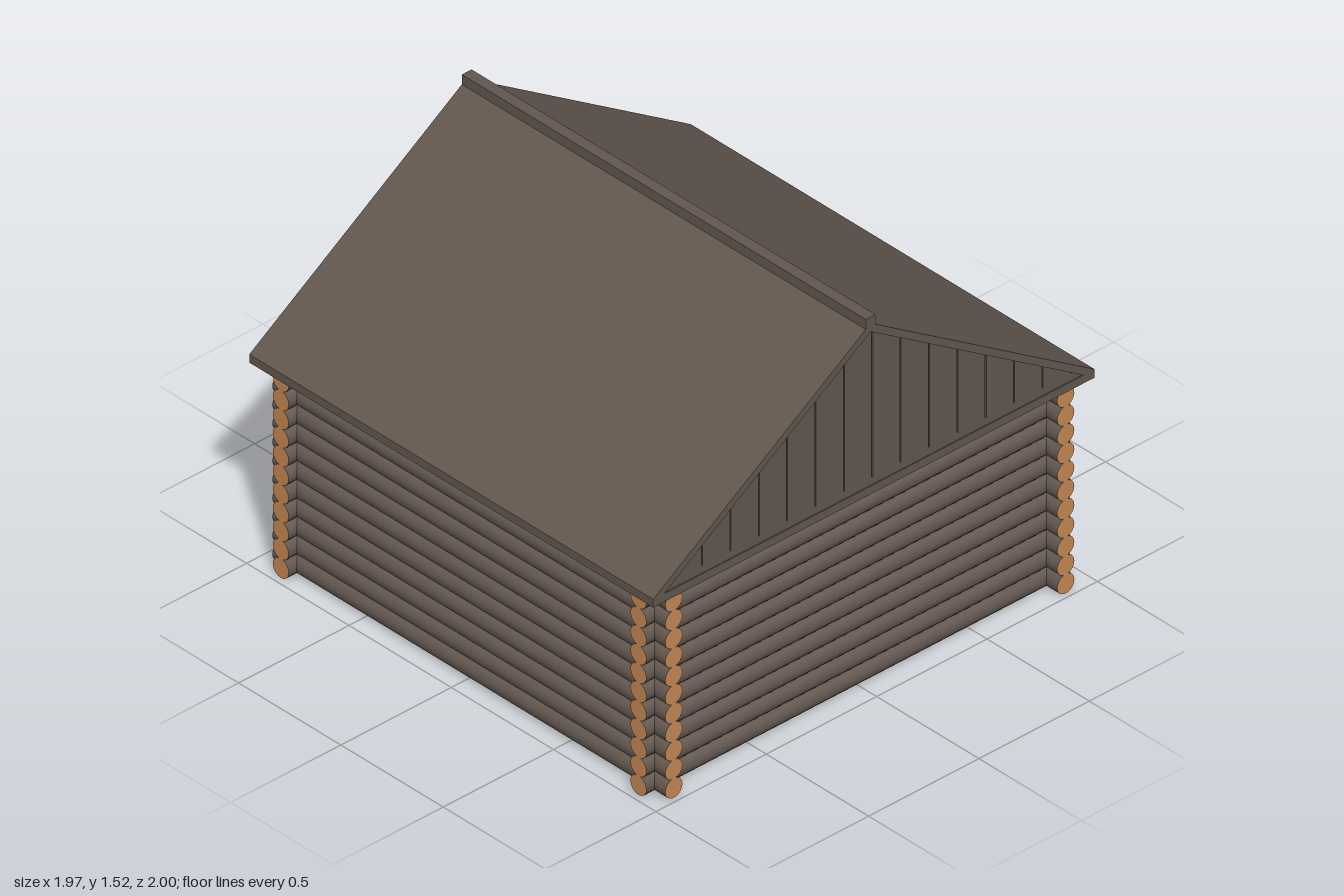
import * as THREE from 'three';

const mat = (name, color) => {
  const m = new THREE.MeshStandardMaterial({ color });
  m.name = name;
  return m;
};

export function createModel() {
  const cabin = new THREE.Group();
  cabin.name = 'logCabin';
  const wood = mat('weatheredWood', 0x63574f);
  const cut = mat('cutWood', 0xc48854);
  const dark = mat('darkWood', 0x463c36);
  const gapMat = mat('shadowGap', 0x2b2522);
  const glass = mat('windowGlass', 0xa6c3d2);

  const add = (parent, name, geo, material) => {
    const m = new THREE.Mesh(geo, material);
    m.name = name;
    parent.add(m);
    return m;
  };
  const group = (name) => {
    const g = new THREE.Group();
    g.name = name;
    cabin.add(g);
    return g;
  };
  // Box given by its limits on each axis
  const box = (parent, name, [x0, x1], [y0, y1], [z0, z1], material) =>
    add(parent, name, new THREE.BoxGeometry(x1 - x0, y1 - y0, z1 - z0), material)
      .position.set((x0 + x1) / 2, (y0 + y1) / 2, (z0 + z1) / 2);
  // Outline of [z, y] points, extruded along x
  const prism = (parent, name, points, x0, x1, material) => {
    const shape = new THREE.Shape(points.map(([z, y]) => new THREE.Vector2(-z, y)));
    const geo = new THREE.ExtrudeGeometry(shape, { depth: x1 - x0, bevelEnabled: false });
    geo.rotateY(Math.PI / 2).translate(x0, 0, 0);
    return add(parent, name, geo, material);
  };

  // Log walls, crossing at the corners
  const walls = group('logWalls');
  const radius = 0.039, pitch = 0.075;
  const xLog = new THREE.CylinderGeometry(radius, radius, 1.92, 18).rotateZ(Math.PI / 2);
  const zLog = new THREE.CylinderGeometry(radius, radius, 1.92, 18).rotateX(Math.PI / 2);
  for (let i = 0; i < 11; i++) {
    const y = radius + i * pitch;
    for (const z of [0.9, -0.875]) add(walls, 'longLog', xLog, [wood, cut, cut]).position.set(0.02, y, z);
    for (const x of [-0.86, 0.888]) add(walls, 'crossLog', zLog, [wood, cut, cut]).position.set(x, y, 0.015);
  }
  box(cabin, 'floor', [-0.87, 0.89], [0.005, 0.03], [-0.88, 0.9], wood);

  // Roof shell, eave slab and ridge cap
  const roof = group('roof');
  const W = 0.987, ridgeZ = 0.015, ridgeY = 1.5, eaveY = 0.846;
  const roofY = (z) => z > ridgeZ
    ? ridgeY - (ridgeY - eaveY) * (z - ridgeZ) / (1 - ridgeZ)
    : ridgeY - (ridgeY - eaveY) * (ridgeZ - z) / (1 + ridgeZ);
  prism(roof, 'roofSlopes', [[1, 0.813], [1, eaveY], [ridgeZ, ridgeY], [-1, eaveY], [-1, 0.813],
    [ridgeZ, ridgeY - 0.034]], -W, W, wood);
  box(roof, 'eaveSlab', [-W + 0.001, W - 0.001], [0.812, 0.845], [-0.999, 0.999], wood);
  box(roof, 'ridgeCap', [-W, W], [1.485, 1.525], [-0.007, 0.037], wood);

  // Gables: dark backing with vertical planks on both ends
  const gables = group('gables');
  const under = (z) => roofY(z) - 0.012;
  prism(gables, 'gableBacking', [[0.94, 0.84], [ridgeZ, under(ridgeZ)], [-0.94, 0.84]], -0.97, 0.97, gapMat);
  const plank = 0.1285, gap = 0.0025, base = 0.875;
  for (const s of [-1, 1]) {
    const [x0, x1] = s > 0 ? [0.965, 0.982] : [-0.982, -0.965];
    box(gables, 'gableSill', [x0, x1], [0.84, base], [-0.945, 0.945], wood);
    for (let i = -8; i < 8; i++) {
      const a = Math.max(0.003 + i * plank + gap, -0.95);
      const b = Math.min(0.003 + (i + 1) * plank - gap, 0.95);
      if (b <= a) continue;
      const pts = [[a, base], [b, base], [b, Math.max(under(b), base + 0.001)]];
      if (a < ridgeZ && b > ridgeZ) pts.push([ridgeZ, under(ridgeZ)]);
      pts.push([a, Math.max(under(a), base + 0.001)]);
      prism(gables, 'gablePlank', pts, x0, x1, wood);
    }
  }

  // Back window: frame, glass and glazing bars
  const win = group('backWindow');
  const fz = [-0.93, -0.86];
  box(win, 'windowPane', [-0.235, 0.235], [0.315, 0.595], [-0.92, -0.913], glass);
  for (const s of [-1, 1]) {
    const side = [s * 0.235, s * 0.262].sort((a, b) => a - b);
    box(win, 'windowJamb', side, [0.285, 0.625], fz, dark);
  }
  box(win, 'windowHead', [-0.235, 0.235], [0.595, 0.625], fz, dark);
  box(win, 'windowSill', [-0.235, 0.235], [0.285, 0.315], fz, dark);
  box(win, 'verticalBar', [-0.005, 0.005], [0.315, 0.595], [-0.926, -0.917], dark);
  for (const y of [0.425, 0.535]) box(win, 'crossBar', [-0.235, 0.235], [y - 0.004, y + 0.004], [-0.925, -0.917], dark);

  // Side door: leaf, frame and handle
  const door = group('sideDoor');
  box(door, 'doorLeaf', [-0.908, -0.85], [0.01, 0.475], [-0.13, 0.1], dark);
  for (const z of [[-0.15, -0.13], [0.1, 0.12]]) box(door, 'doorJamb', [-0.925, -0.85], [0.01, 0.495], z, wood);
  box(door, 'doorHead', [-0.925, -0.85], [0.475, 0.495], [-0.13, 0.1], wood);
  box(door, 'doorHandle', [-0.925, -0.9], [0.235, 0.25], [0.05, 0.08], gapMat);

  return cabin;
}
